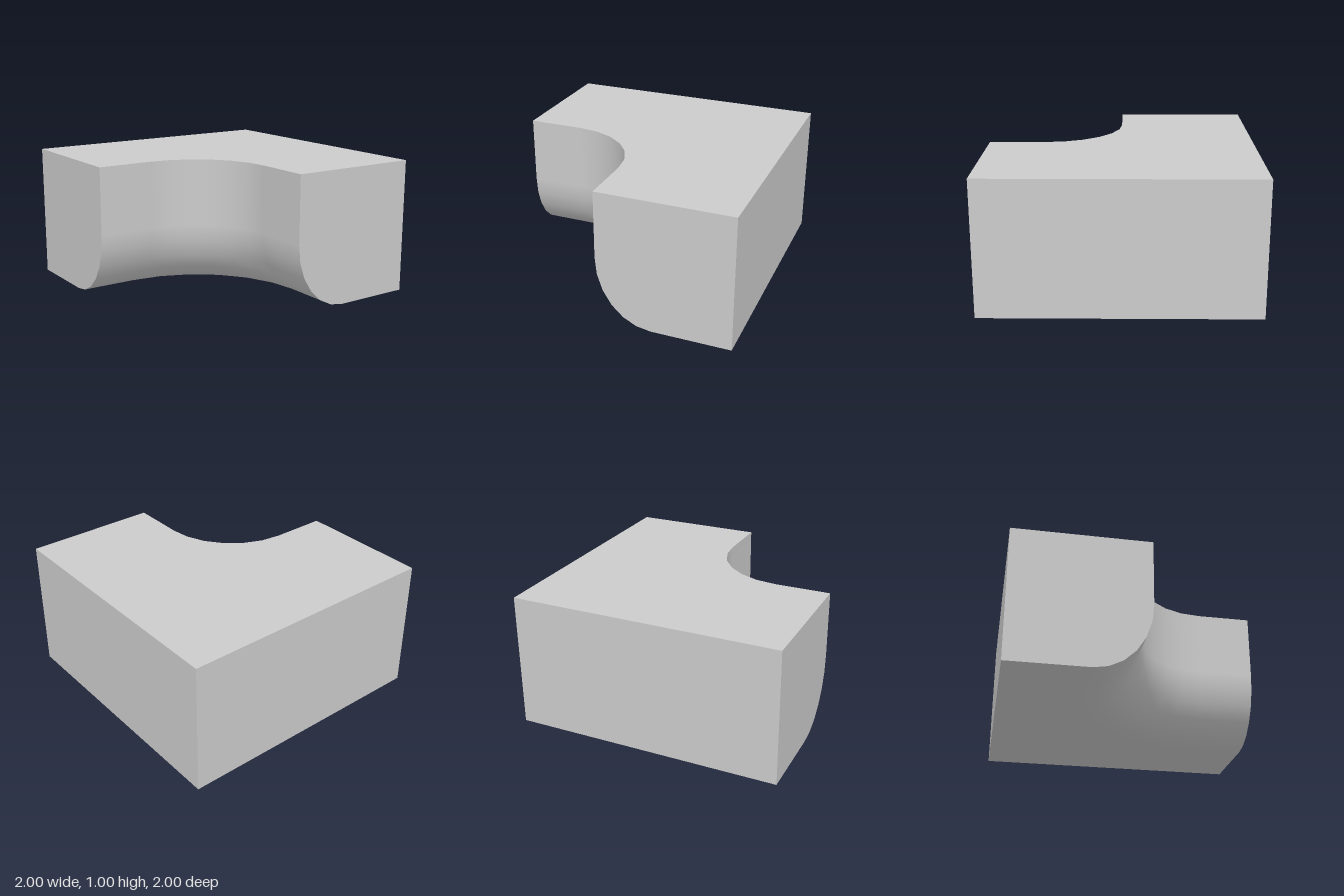
import * as THREE from 'three';

const R = 0.586;      // plan radius of the inner corner
const INSET = 0.414;  // how far the wall curls under at the base
const DROP = 0.5;     // height at which the curl starts
const STEPS = 6;

// Wall section from top to base: inset d, height y and slope angle t
const profile = [{ d: 0, y: 1, t: 0 }];
for (let i = 0; i <= STEPS; i++) {
  const t = (i / STEPS) * Math.PI / 2;
  profile.push({ d: INSET * (1 - Math.cos(t)), y: DROP * (1 - Math.sin(t)), t });
}

// Plan of the inner wall, pushed d into the block: [x, z, normalX, normalZ]
function innerPath(d) {
  const path = [[-1, -d, 0, -1]];
  for (let i = 0; i <= STEPS; i++) {
    const a = (i / STEPS) * Math.PI / 2;
    const nx = Math.sin(a), nz = -Math.cos(a);
    path.push([-R + (R + d) * nx, R + (R + d) * nz, nx, nz]);
  }
  path.push([d, 1, 1, 0]);
  return path;
}

const face = (pts) => new THREE.ShapeGeometry(new THREE.Shape(pts.map(([u, v]) => new THREE.Vector2(u, v))));

// L-shaped outline of the block at inset d
const outline = (d, sign) => face(
  [...innerPath(d), [1, 1], [1, -1], [-1, -1]].map(([x, z]) => [x, sign * z]));

// Smooth curved wall swept along the inner path
function innerWallGeometry() {
  const pos = [], nor = [], idx = [];
  const cols = STEPS + 3;
  profile.forEach(({ d, y, t }, j) => {
    innerPath(d).forEach(([x, z, nx, nz], i) => {
      const h = Math.cos(t) / INSET, v = Math.sin(t) / DROP, len = Math.hypot(h, v);
      pos.push(x, y, z);
      nor.push(-nx * h / len, -v / len, -nz * h / len);
      if (j < profile.length - 1 && i < cols - 1) {
        const a = j * cols + i, b = a + cols;
        idx.push(a, b, b + 1, a, b + 1, a + 1);
      }
    });
  });
  const g = new THREE.BufferGeometry();
  g.setAttribute('position', new THREE.Float32BufferAttribute(pos, 3));
  g.setAttribute('normal', new THREE.Float32BufferAttribute(nor, 3));
  g.setIndex(idx);
  return g;
}

export function createModel() {
  const group = new THREE.Group();
  group.name = 'cornerBlock';
  const material = new THREE.MeshStandardMaterial({ color: 0xcccccc });
  const add = (name, geometry) => {
    const mesh = new THREE.Mesh(geometry, material);
    mesh.name = name;
    group.add(mesh);
  };

  add('innerWall', innerWallGeometry());

  // Flat top and base
  add('top', outline(0, -1).rotateX(-Math.PI / 2).translate(0, 1, 0));
  add('base', outline(INSET, 1).rotateX(Math.PI / 2));

  // End faces that show the wall section
  const section = (sign) => face([...profile.map(({ d, y }) => [sign * d, y]), [sign, 0], [sign, 1]]);
  add('frontEnd', section(1).translate(0, 0, 1));
  add('rightEnd', section(-1).rotateY(-Math.PI / 2).translate(-1, 0, 0));

  // Flat outer walls
  add('backWall', new THREE.PlaneGeometry(2, 1).rotateY(Math.PI).translate(0, 0.5, -1));
  add('leftWall', new THREE.PlaneGeometry(2, 1).rotateY(Math.PI / 2).translate(1, 0.5, 0));

  return group;
}
